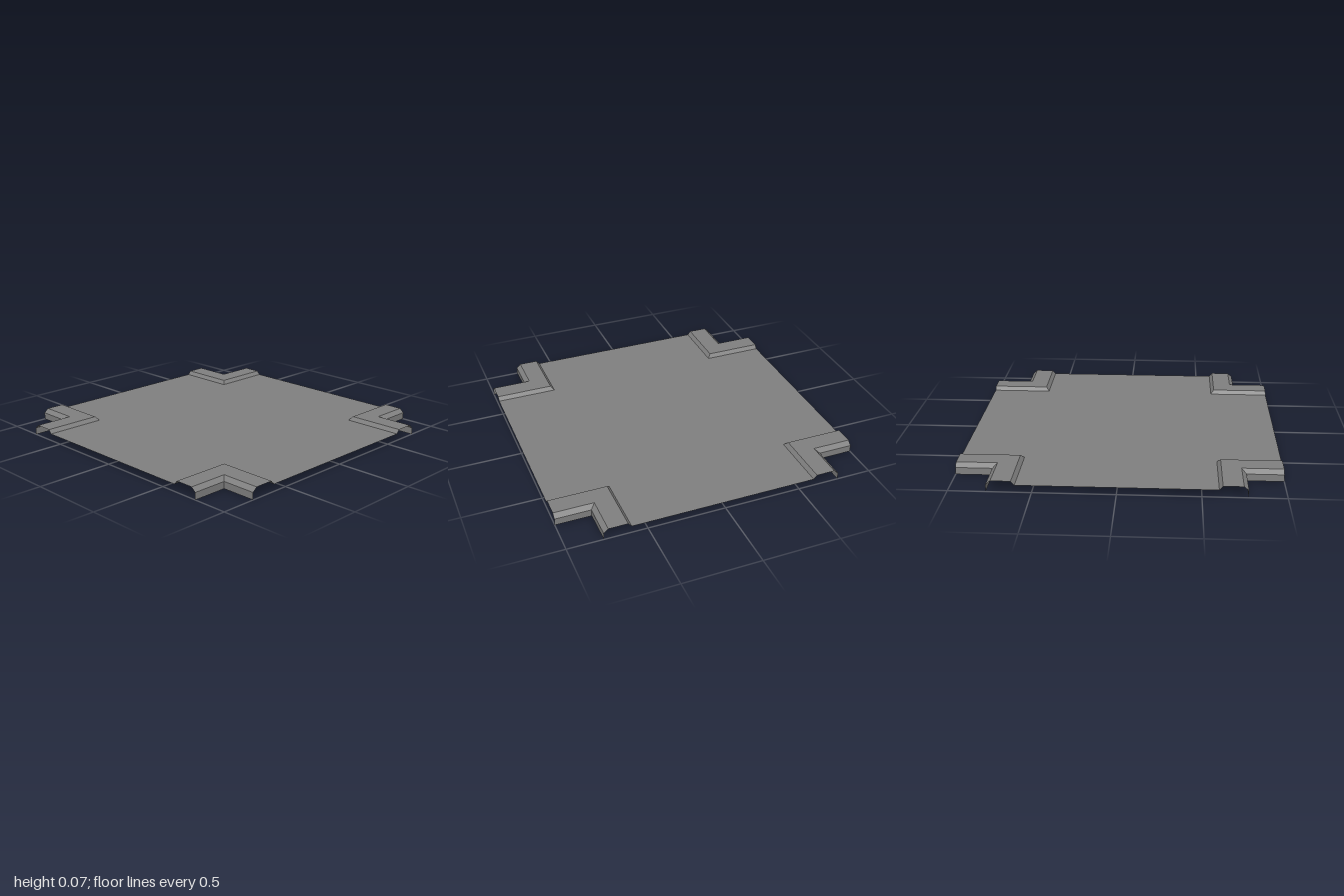
import * as THREE from 'three';

const ROAD_Y = 0.045;
const INNER = 0.6;

// Kerb section: [distance from the centre line, height], road side to outside
const SECTION = [[INNER, ROAD_Y], [0.621, 0.07], [0.743, 0.07], [0.772, ROAD_Y], [0.772, 0]];

// L-shaped kerb sheet, mitred at the corner; sx and sz pick the quadrant
function kerbGeometry(sx, sz) {
  const positions = [];
  const path = ([d, y]) => [[1, y, d], [d, y, d], [d, y, 1]];
  for (let i = 0; i < SECTION.length - 1; i++) {
    const a = path(SECTION[i]);
    const b = path(SECTION[i + 1]);
    for (let j = 0; j < 2; j++) {
      const quad = [a[j], a[j + 1], b[j + 1], b[j]];
      if (sx * sz < 0) quad.reverse(); // keep faces outward when mirrored
      for (const k of [0, 1, 2, 0, 2, 3]) {
        const [x, y, z] = quad[k];
        positions.push(x * sx, y, z * sz);
      }
    }
  }
  const geometry = new THREE.BufferGeometry();
  geometry.setAttribute('position', new THREE.Float32BufferAttribute(positions, 3));
  geometry.computeVertexNormals();
  return geometry;
}

export function createModel() {
  const group = new THREE.Group();
  group.name = 'crossroads';
  const grey = new THREE.MeshStandardMaterial({ color: 0x808080 });
  grey.name = 'grey';
  grey.side = THREE.DoubleSide;
  grey.flatShading = true;

  // Cross-shaped road sheet
  const w = INNER;
  const outline = [
    [-w, -1], [w, -1], [w, -w], [1, -w], [1, w], [w, w],
    [w, 1], [-w, 1], [-w, w], [-1, w], [-1, -w], [-w, -w],
  ].map(([x, y]) => new THREE.Vector2(x, y));
  const roadGeometry = new THREE.ShapeGeometry(new THREE.Shape(outline));
  roadGeometry.rotateX(-Math.PI / 2);
  const road = new THREE.Mesh(roadGeometry, grey);
  road.name = 'road';
  road.position.y = ROAD_Y;
  group.add(road);

  // One raised kerb in each corner
  for (const sx of [1, -1]) {
    for (const sz of [1, -1]) {
      const kerb = new THREE.Mesh(kerbGeometry(sx, sz), grey);
      kerb.name = (sz > 0 ? 'front' : 'back') + (sx > 0 ? 'Left' : 'Right') + 'Kerb';
      group.add(kerb);
    }
  }
  return group;
}
